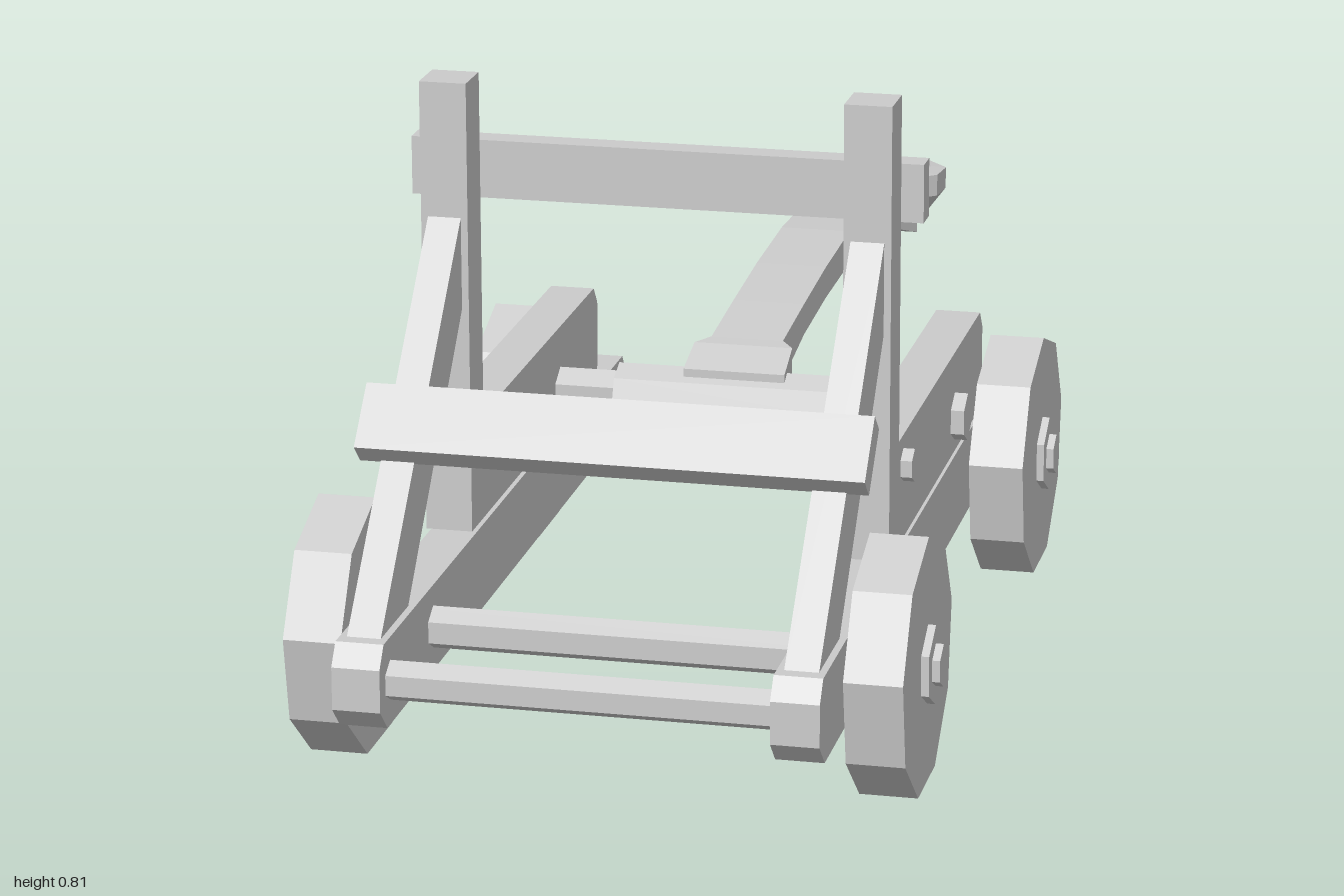
import * as THREE from 'three';

const mat = new THREE.MeshStandardMaterial({ color: 0xcccccc, flatShading: true, side: THREE.DoubleSide });
const CX = 0.008; // middle of the frame

export function createModel() {
  const model = new THREE.Group();

  const add = (name, geo) => {
    const mesh = new THREE.Mesh(geo, mat);
    mesh.name = name;
    model.add(mesh);
    return mesh;
  };
  // Box given by its limits
  const box = (name, x0, x1, y0, y1, z0, z1) => add(name,
    new THREE.BoxGeometry(x1 - x0, y1 - y0, z1 - z0)
      .translate((x0 + x1) / 2, (y0 + y1) / 2, (z0 + z1) / 2));
  // Side profile of [z, y] points, extruded from x0 to x1
  const plank = (name, pts, x0, x1) => {
    const shape = new THREE.Shape(pts.map(p => new THREE.Vector2(p[0], p[1])));
    const geo = new THREE.ExtrudeGeometry(shape, { depth: x1 - x0, bevelEnabled: false });
    return add(name, geo.rotateY(-Math.PI / 2).translate(x1, 0, 0));
  };
  // Prism lying along x, one corner pointing up
  const rod = (name, x0, x1, y, z, r, sides = 6) => add(name,
    new THREE.CylinderGeometry(r, r, x1 - x0, sides, 1, false, Math.PI / 2)
      .rotateZ(Math.PI / 2).translate((x0 + x1) / 2, y, z));

  // Both sides of the frame
  for (const s of [-1, 1]) {
    const side = s < 0 ? 'right' : 'left';
    const span = (a, b) => s > 0 ? [CX + a, CX + b] : [CX - b, CX - a];
    const [a, b] = span(0.243, 0.304);
    plank(side + 'Rail', [[0.97, 0.1], [1, 0.13], [1, 0.185], [0.98, 0.212],
      [-0.25, 0.212], [-0.27, 0.185], [-0.27, 0.13], [-0.24, 0.1]], a, b);
    plank(side + 'SidePanel', [[0.54, 0.22], [0.54, 0.36], [-0.085, 0.36],
      [-0.105, 0.335], [-0.105, 0.245], [-0.085, 0.22]], a, b);
    box(side + 'Post', a, b, 0.22, 0.815, 0.505, 0.568);
    plank(side + 'Strut', [[0.567, 0.64], [0.963, 0.21], [0.84, 0.21], [0.567, 0.52]],
      ...span(0.252, 0.295));

    // Wheels with hub nuts
    for (const [end, z] of [['Front', 0.757], ['Rear', -0.105]]) {
      rod(side + end + 'Wheel', ...span(0.316, 0.39), 0.157, z, 0.166, 9);
      rod(side + end + 'HubNut', ...span(0.39, 0.4), 0.157, z, 0.052);
    }
  }

  // Axles and tie rods
  rod('frontAxle', -0.403, 0.418, 0.157, 0.757, 0.028);
  rod('rearAxle', -0.403, 0.418, 0.157, -0.105, 0.028);
  rod('frontTieRod', -0.24, 0.255, 0.157, 0.953, 0.026);
  rod('panelTieRod', -0.31, 0.327, 0.32, 0.475, 0.022);

  // Crossbars
  box('topCrossbar', -0.325, 0.341, 0.65, 0.726, 0.47, 0.505);
  const bar = add('strutCrossbar', new THREE.BoxGeometry(0.645, 0.09, 0.037));
  bar.position.set(CX, 0.43, 0.78);
  bar.rotation.x = -0.75;

  // Winch: rod, drum, hub and crossed spokes
  const WY = 0.27, WZ = 0.105;
  rod('winchRod', -0.42, 0.33, WY, WZ, 0.033);
  rod('winchDrum', -0.152, 0.167, WY, WZ, 0.045, 8);
  rod('winchHub', -0.412, -0.368, WY, WZ, 0.04);
  for (const angle of [0.7, -0.85]) {
    const spoke = add('winchSpoke', new THREE.CylinderGeometry(0.013, 0.013, 0.29, 6));
    spoke.position.set(-0.388, WY, WZ);
    spoke.rotation.x = angle;
  }

  // Throwing arm: stations of [z, top, bottom, half width]
  const stations = [
    [0.125, 0.318, 0.265, 0.07], [0.065, 0.338, 0.272, 0.068], [0.04, 0.34, 0.285, 0.05],
    [-0.1, 0.352, 0.308, 0.05], [-0.25, 0.363, 0.318, 0.05], [-0.42, 0.369, 0.321, 0.05],
    [-0.58, 0.362, 0.315, 0.05], [-0.68, 0.355, 0.303, 0.05], [-0.73, 0.353, 0.288, 0.06],
    [-0.8, 0.343, 0.265, 0.078],
  ];
  const n = stations.length - 1;
  const armGeo = new THREE.BoxGeometry(1, 1, 1, 1, 1, n);
  const p = armGeo.attributes.position;
  for (let i = 0; i < p.count; i++) {
    const [z, top, bottom, half] = stations[Math.round((0.5 - p.getZ(i)) * n)];
    p.setXYZ(i, 0.012 + Math.sign(p.getX(i)) * half, p.getY(i) > 0 ? top : bottom, z);
  }
  add('throwingArm', armGeo);

  // Hollow cup at the end of the arm
  const profile = [[0, -0.09], [0.06, -0.078], [0.105, -0.02], [0.105, 0.012],
    [0.082, 0.014], [0.06, -0.035], [0, -0.052]].map(q => new THREE.Vector2(q[0], q[1]));
  const cup = add('cup', new THREE.LatheGeometry(profile, 10));
  cup.scale.z = 1.13;
  cup.position.set(0.012, 0.328, -0.882);
  cup.rotation.x = -0.1;

  return model;
}
